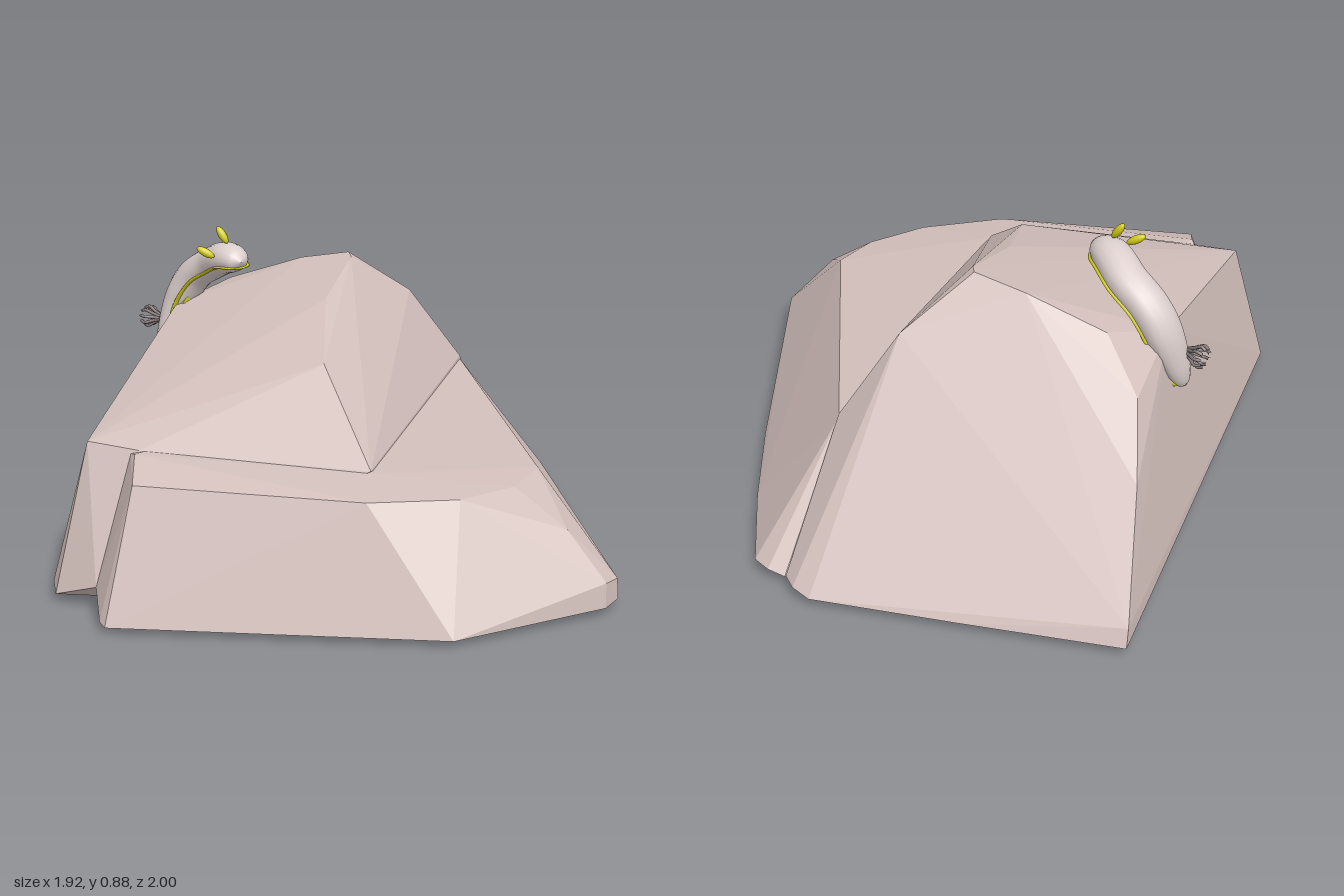
import * as THREE from 'three';
import { ConvexGeometry } from 'three/addons/geometries/ConvexGeometry.js';

const mat = (name, color, opts = {}) => {
  const m = new THREE.MeshStandardMaterial({ color, ...opts });
  m.name = name;
  return m;
};

// Faceted stone block spanned by its corner points
function stone(name, corners, material) {
  const mesh = new THREE.Mesh(new ConvexGeometry(corners.map(c => new THREE.Vector3(...c))), material);
  mesh.name = name;
  return mesh;
}

// Elliptical sections swept along a path; offset shifts them along the back normal
function sweep(name, points, width, thick, offset, material) {
  const curve = new THREE.CatmullRomCurve3(points.map(p => new THREE.Vector3(...p)));
  const rows = 36, sides = 16, pos = [], index = [];
  for (let i = 0; i <= rows; i++) {
    const u = i / rows;
    const c = curve.getPoint(u), t = curve.getTangent(u);
    const n = new THREE.Vector3(-t.y, t.x, 0).normalize();
    const s = new THREE.Vector3().crossVectors(t, n);
    c.addScaledVector(n, offset);
    for (let j = 0; j < sides; j++) {
      const a = j / sides * Math.PI * 2;
      const p = c.clone().addScaledVector(s, width(u) * Math.cos(a)).addScaledVector(n, thick(u) * Math.sin(a));
      pos.push(p.x, p.y, p.z);
      if (i < rows) {
        const k = i * sides + j, k2 = i * sides + (j + 1) % sides;
        index.push(k, k + sides, k2, k2, k + sides, k2 + sides);
      }
    }
  }
  const g = new THREE.BufferGeometry();
  g.setAttribute('position', new THREE.Float32BufferAttribute(pos, 3));
  g.setIndex(index);
  g.computeVertexNormals();
  const mesh = new THREE.Mesh(g, material);
  mesh.name = name;
  return mesh;
}

export function createModel() {
  const model = new THREE.Group();
  model.name = 'slugOnRock';
  const rock = mat('rock pink grey', 0xd2bfbb);
  const skin = mat('pale skin', 0xdccfcd);
  const yellow = mat('yellow trim', 0xd2cc18);
  const grey = mat('gill grey', 0x85797b);

  // Tall block with the sloping top
  model.add(stone('tallRock', [
    [-0.96, 0.03, -0.62], [-0.95, 0.08, -0.6], [-0.88, 0.2, -0.51], [-0.82, 0.37, -0.4], [-0.72, 0.54, -0.27],
    [-0.57, 0.66, -0.21], [-0.64, 0.61, -0.02], [-0.35, 0.74, -0.29], [-0.2, 0.77, -0.33], [-0.17, 0.765, -0.3],
    [-0.09, 0.62, -0.52], [-0.1, 0.7, -0.05], [-0.03, 0.66, 0.05], [0.08, 0.6, 0.23],
    [0.36, 0.39, 0.42], [0.02, 0.38, -0.66], [-0.21, 0.43, 0.72], [-0.36, 0.44, 0.76],
    [-0.42, 0.04, 0.86], [-0.37, 0.03, 0.91], [-0.23, 0.08, 0.9],
    [-0.55, 0.03, -0.82], [-0.17, 0.03, -1], [-0.11, 0.04, -1], [-0.06, 0.04, -0.975],
    [-0.9, 0.005, -0.57], [-0.15, 0.01, -0.92], [-0.41, 0.005, 0.78], [-0.25, 0.01, 0.8]
  ], rock));

  // Low ledge wrapping the right and front
  model.add(stone('ledgeRock', [
    [-0.23, 0.42, 0.73], [-0.2, 0.43, 0.75], [-0.13, 0.385, 0.85], [0.36, 0.385, 0.42], [0.44, 0.365, 0.57],
    [0.62, 0.35, 0.38], [0.69, 0.345, 0.2], [0.675, 0.35, 0.04], [0.06, 0.35, -0.63], [0.02, 0.37, -0.66],
    [0.84, 0.24, 0.17], [0.955, 0.1, 0.15], [0.955, 0.09, 0.08],
    [0.96, 0.03, 0.16], [0.96, 0.03, 0.08], [0.71, 0.025, 0.56], [-0.12, 0.025, 1], [-0.15, 0.03, 0.985],
    [-0.23, 0.08, 0.9], [0.5, 0.03, -0.5], [0.28, 0.035, -0.75], [0.06, 0.04, -0.975], [0, 0.04, -0.985],
    [-0.05, 0.03, -0.97], [-0.13, 0.01, 0.92], [0.66, 0.005, 0.5], [0.9, 0.01, 0.12], [0.03, 0.01, -0.9], [-0.25, 0.01, 0.8]
  ], rock));

  // Slug draped over the edge, tail to head
  const slug = new THREE.Group();
  slug.name = 'slug';
  model.add(slug);
  const spine = [[-0.695, 0.44, 0], [-0.675, 0.54, -0.035], [-0.648, 0.63, -0.06], [-0.6, 0.7, -0.07],
    [-0.53, 0.745, -0.065], [-0.45, 0.78, -0.03], [-0.37, 0.785, 0.005]];
  const round = u => Math.sqrt(Math.max(0.0004, 1 - Math.pow(Math.abs(2 * u - 1), 5)));
  const width = u => 0.063 * round(u) * (0.75 + 0.25 * Math.min(1, u * 3));
  const thick = u => 0.052 * round(u) * (0.55 + 0.45 * Math.min(1, u * 2.5));
  slug.add(sweep('body', spine, width, thick, 0, skin));
  slug.add(sweep('mantleTrim', spine, u => width(u) + 0.004, u => 0.009 * round(u), -0.02, yellow));

  // Foot lobe showing past the mantle at the tail
  const foot = [[-0.645, 0.405, 0.055], [-0.645, 0.47, 0.02], [-0.635, 0.56, -0.02], [-0.61, 0.64, -0.05]];
  const footWidth = u => 0.03 * round(u) * (0.5 + 0.5 * u);
  slug.add(sweep('foot', foot, footWidth, u => 0.022 * round(u), 0, skin));
  slug.add(sweep('footTrim', foot, u => footWidth(u) + 0.004, u => 0.008 * round(u), -0.008, yellow));

  // Head horns
  for (const [x, y, z, tiltX, tiltZ] of [[-0.455, 0.855, -0.015, 0.1, 0.6], [-0.475, 0.81, 0.045, 0.7, 0.9]]) {
    const horn = new THREE.Mesh(new THREE.SphereGeometry(1, 14, 10), yellow);
    horn.name = 'horn';
    horn.scale.set(0.012, 0.03, 0.013);
    horn.position.set(x, y, z);
    horn.rotation.set(tiltX, 0, tiltZ);
    slug.add(horn);
  }

  // Gill tuft: a ring of curled plumes on the back
  const gills = new THREE.Group();
  gills.name = 'gills';
  gills.position.set(-0.705, 0.555, -0.005);
  gills.rotation.z = Math.PI / 2;
  for (let i = 0; i < 9; i++) {
    const a = i / 9 * Math.PI * 2, c = Math.cos(a), s = Math.sin(a);
    const path = new THREE.CatmullRomCurve3([[0.008, -0.01], [0.02, 0.015], [0.032, 0.035], [0.024, 0.052]]
      .map(([r, y]) => new THREE.Vector3(r * c, y, r * s)));
    const plume = new THREE.Mesh(new THREE.TubeGeometry(path, 8, 0.005, 6), grey);
    plume.name = 'gillPlume';
    gills.add(plume);
  }
  slug.add(gills);
  return model;
}
